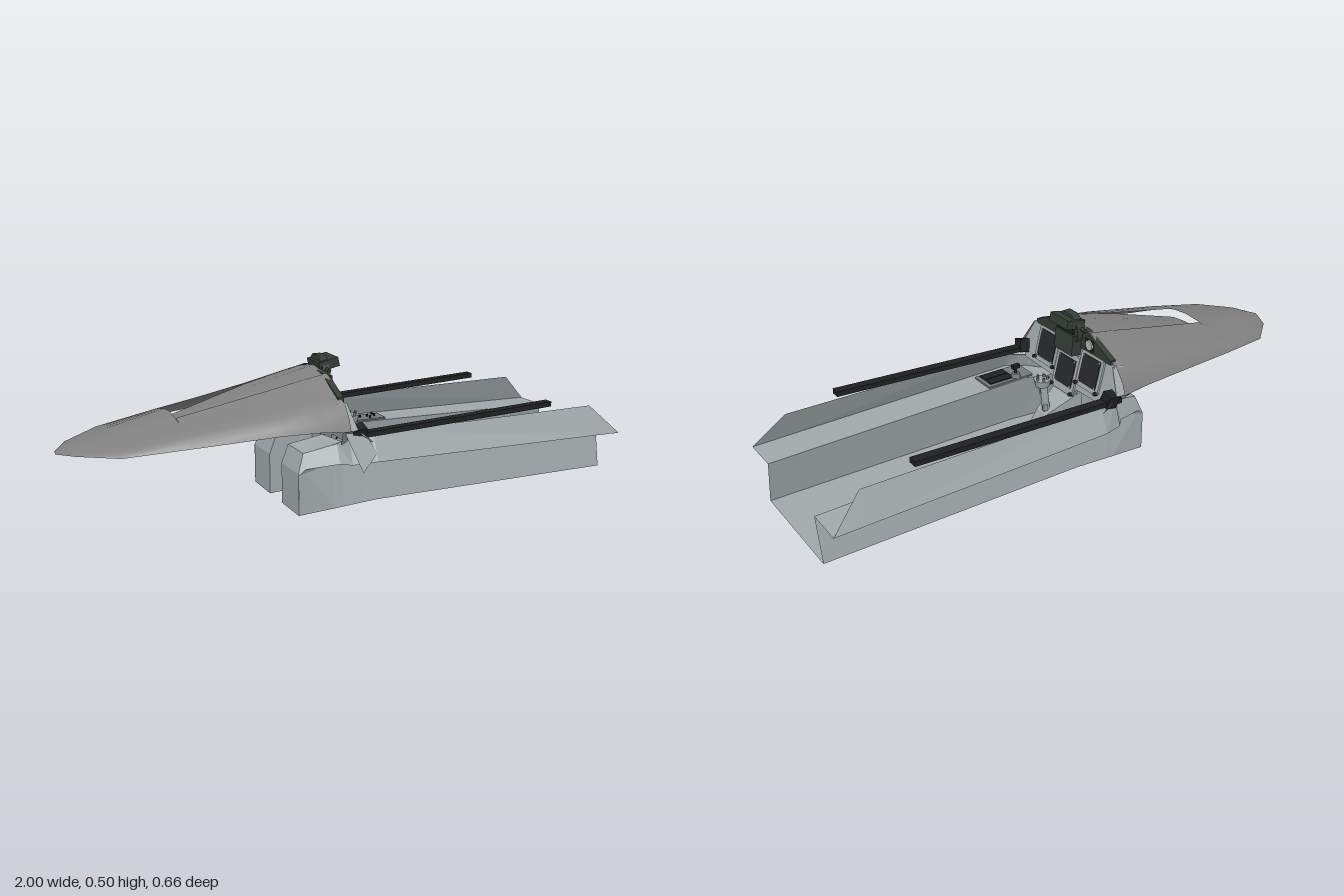
import * as THREE from 'three';

const mat = (name, color, side = THREE.DoubleSide) => {
  const m = new THREE.MeshStandardMaterial({ color, side });
  m.name = name;
  return m;
};
const M = {
  tub: mat('light grey', 0xa0a8aa),
  skin: mat('skin grey', 0x808080),
  hood: mat('dark green', 0x343d34),
  black: mat('black', 0x1f2021),
  screen: mat('screen charcoal', 0x26282a),
  panel: mat('console grey', 0x74797a),
  dial: mat('dial pale grey', 0xb4b6b6),
};

function add(parent, name, geo, material, pos = [0, 0, 0], rot = [0, 0, 0]) {
  const m = new THREE.Mesh(geo, material);
  m.name = name;
  m.position.set(...pos);
  m.rotation.set(...rot);
  parent.add(m);
  return m;
}
const box = (w, h, d) => new THREE.BoxGeometry(w, h, d);
const cyl = (a, b, h, n = 12) => new THREE.CylinderGeometry(a, b, h, n);

// Surface through rows of points; flat or smooth
function loft(rows, smooth = false) {
  const n = rows[0].length, index = [];
  for (let i = 0; i < rows.length - 1; i++)
    for (let j = 0; j < n - 1; j++) {
      const a = i * n + j, b = a + n;
      index.push(a, a + 1, b, b, a + 1, b + 1);
    }
  let g = new THREE.BufferGeometry();
  g.setAttribute('position', new THREE.Float32BufferAttribute(rows.flat(2), 3));
  g.setIndex(index);
  if (!smooth) g = g.toNonIndexed();
  g.computeVertexNormals();
  return g;
}

// Flat plate in x/y facing +z, from corner points
function plate(points, depth) {
  const s = new THREE.Shape(points.map(p => new THREE.Vector2(...p)));
  return new THREE.ExtrudeGeometry(s, { depth, bevelEnabled: false });
}
function roundedPlate(w, h, r, depth) {
  const s = new THREE.Shape(), x = w / 2, y = h / 2;
  s.absarc(x - r, y - r, r, 0, Math.PI / 2);
  s.absarc(r - x, y - r, r, Math.PI / 2, Math.PI);
  s.absarc(r - x, r - y, r, Math.PI, Math.PI * 1.5);
  s.absarc(x - r, r - y, r, Math.PI * 1.5, Math.PI * 2);
  return new THREE.ExtrudeGeometry(s, { depth, bevelEnabled: false, curveSegments: 4 });
}

// One half of the tub shell: floor, lower wall, ledge, sloping sill
function tubSide() {
  const g = new THREE.Group();
  // x, floor inner z, floor y, wall top z/y, ledge z/y, sill z/y
  const S = [
    [-0.245, 0.057, 0.004, 0.209, 0.14, 0.209, 0.145, 0.207, 0.15],
    [-0.22, 0.057, 0.006, 0.207, 0.15, 0.212, 0.165, 0.19, 0.215],
    [-0.11, 0.057, 0.012, 0.19, 0.17, 0.25, 0.18, 0.22, 0.245],
    [-0.08, 0.057, 0.014, 0.185, 0.178, 0.285, 0.182, 0.255, 0.27],
    [-0.08, 0, 0.014, 0.185, 0.178, 0.285, 0.182, 0.255, 0.27],
    [0.0, 0, 0.019, 0.18, 0.196, 0.315, 0.192, 0.275, 0.28],
    [0.05, 0, 0.022, 0.18, 0.195, 0.315, 0.191, 0.275, 0.281],
    [0.89, 0, 0.022, 0.18, 0.182, 0.315, 0.18, 0.275, 0.285],
    [1, 0, 0.022, 0.18, 0.18, 0.315, 0.178, 0.315, 0.179],
  ];
  const rows = S.map(([x, fi, fy, wz, wy, lz, ly, sz, sy]) =>
    [[x, fy, fi], [x, fy, 0.209], [x, wy, wz], [x, ly, lz], [x, sy, sz]]);
  add(g, 'tubShell', loft(rows), M.tub);
  // Foot box: front cap, cover and inner wall
  add(g, 'footBoxFront', loft([
    [[-0.245, 0.004, 0.057], [-0.245, 0.004, 0.209]],
    [[-0.245, 0.15, 0.057], [-0.245, 0.15, 0.207]],
    [[-0.22, 0.215, 0.057], [-0.22, 0.215, 0.19]],
    [[-0.09, 0.235, 0.057], [-0.09, 0.25, 0.23]],
  ]), M.tub);
  add(g, 'footBoxInnerWall', loft([
    [[-0.245, 0.004, 0.057], [-0.245, 0.15, 0.057]],
    [[-0.22, 0.006, 0.057], [-0.22, 0.215, 0.057]],
    [[-0.08, 0.014, 0.057], [-0.08, 0.235, 0.057]],
  ]), M.tub);
  // Canopy rail along the sill
  add(g, 'canopyRail', box(0.8, 0.018, 0.034), M.black, [0.31, 0.294, 0.266], [0, -0.012, 0.045]);
  add(g, 'railEnd', box(0.05, 0.05, 0.04), M.black, [-0.05, 0.285, 0.262], [0.3, 0, 0.2]);
  // Skin joining the nose to the sill
  add(g, 'cornerSkin', loft([
    [[-0.12, 0.385, 0.24], [-0.08, 0.385, 0.235]],
    [[-0.12, 0.3, 0.29], [-0.06, 0.3, 0.285]],
    [[-0.1, 0.24, 0.235], [0.0, 0.25, 0.285]],
  ]), M.tub);
  return g;
}

// Nose fairing with a cut-out centre strip and a lowered panel under it
function nose() {
  const g = new THREE.Group();
  g.name = 'nose';
  // x, half width, base y, top y
  const K = [
    [-1, 0.012, 0.262, 0.268], [-0.95, 0.095, 0.27, 0.285], [-0.83, 0.195, 0.275, 0.313],
    [-0.62, 0.235, 0.29, 0.362], [-0.33, 0.28, 0.309, 0.42], [-0.2, 0.288, 0.308, 0.45], [-0.09, 0.293, 0.3, 0.474],
  ];
  const P = [[0.27, 0.92], [0.5, 0.75], [0.72, 0.57], [0.85, 0.45], [0.95, 0.22], [1, 0]];
  const half = ([x, h, b, t], s, inner) => [
    [x, b + (t - b) * (inner ? 0.91 : 1), s * inner],
    ...P.map(([u, v]) => [x, b + (t - b) * v, s * Math.max(u * h, inner + 0.002)])];
  const tip = K.slice(0, 4).map(k => [...half(k, -1, 0).reverse(), ...half(k, 1, 0).slice(1)]);
  add(g, 'noseTip', loft(tip, true), M.skin);
  const strip = [0.078, 0.082, 0.088, 0.095];
  for (const s of [-1, 1])
    add(g, 'noseSide', loft(K.slice(3).map((k, i) => half(k, s, strip[i])), true), M.skin);
  const lower = [0.032, 0.002, 0, 0];
  const rows = K.slice(3).map(([x, , b, t], i) => [-1, 0, 1].map(s =>
    [x, b + (t - b) * (s ? 0.91 : 1) - lower[i], s * (strip[i] - (i ? 0.001 : 0.008))]));
  add(g, 'noseCentrePanel', loft(rows, true), M.skin);
  return g;
}

// Instrument board: local x runs across, local z faces the seat
function dashboard() {
  const g = new THREE.Group();
  g.name = 'dashboard';
  g.rotation.order = 'YXZ';
  g.rotation.set(-0.25, Math.PI / 2, 0);
  g.position.set(-0.1, 0.385, 0);
  add(g, 'board', plate([[-0.235, 0], [-0.275, -0.085], [-0.25, -0.15], [-0.07, -0.155], [-0.06, -0.185],
    [0.06, -0.185], [0.07, -0.155], [0.25, -0.15], [0.275, -0.085], [0.235, 0]], 0.012), M.tub);
  for (const [x, y, h] of [[-0.127, -0.066, 0.13], [0.127, -0.066, 0.13], [0, -0.111, 0.148]]) {
    add(g, 'displayFrame', roundedPlate(0.125, h, 0.012, 0.008), M.tub, [x, y, 0.012]);
    add(g, 'displayScreen', box(0.097, 0.103, 0.004), M.screen, [x, y + 0.004, 0.021]);
    for (const s of [-1, 1]) {
      add(g, 'displayKnob', cyl(0.007, 0.007, 0.012), M.screen,
        [x + s * 0.057, y - h / 2 + 0.008, 0.024], [Math.PI / 2, 0, 0]);
      for (const t of [-1, 1])
        add(g, 'screenScrew', box(0.006, 0.006, 0.002), M.dial, [x + s * 0.044, y + 0.004 + t * 0.047, 0.0235]);
    }
  }
  return g;
}

// Glare shield, sight housing and dial
function hood() {
  const g = new THREE.Group();
  g.name = 'glareShield';
  g.rotation.y = Math.PI / 2;
  add(g, 'shieldPlate', plate([[-0.218, 0.385], [0.218, 0.385], [0.218, 0.402], [0.08, 0.463],
    [-0.08, 0.463], [-0.218, 0.402]], 0.022), M.hood, [0, 0, -0.105]);
  add(g, 'sightDrum', cyl(0.066, 0.066, 0.03, 8), M.hood, [0, 0.447, -0.075], [Math.PI / 2, Math.PI / 8, 0]);
  add(g, 'sightHousing', box(0.104, 0.075, 0.04), M.hood, [0, 0.4, -0.065], [-0.1, 0, 0]);
  add(g, 'sightTop', box(0.104, 0.032, 0.075), M.hood, [0, 0.48, -0.06], [-0.2, 0, 0]);
  add(g, 'sightGap', box(0.09, 0.02, 0.01), M.black, [0, 0.452, -0.057]);
  for (const s of [-1, 1])
    add(g, 'sightLug', cyl(0.007, 0.007, 0.022, 8), M.hood, [s * 0.075, 0.466, -0.075], [0, 0, Math.PI / 2]);
  add(g, 'dialMount', box(0.043, 0.04, 0.006), M.screen, [0.103, 0.418, -0.081]);
  add(g, 'dialFace', cyl(0.018, 0.018, 0.006, 20), M.dial, [0.107, 0.42, -0.076], [Math.PI / 2, 0, 0]);
  return g;
}

function pedestalAndStick() {
  const g = new THREE.Group();
  g.name = 'controlPedestal';
  const A = s => [-0.08, 0.225, s * 0.068], B = s => [0.05, 0.15, s * 0.03];
  const C = s => [0.12, 0.022, s * 0.045], D = s => [-0.08, 0.014, s * 0.058];
  add(g, 'pedestalTop', loft([A, B, C].map(f => [f(-1), f(1)])), M.tub);
  add(g, 'pedestalBack', loft([A, D].map(f => [f(-1), f(1)])), M.tub);
  for (const s of [-1, 1]) add(g, 'pedestalSide', loft([[A(s), B(s)], [D(s), C(s)]]), M.tub);
  add(g, 'stickShaft', cyl(0.012, 0.015, 0.12), M.tub, [0.035, 0.2, 0], [0, 0, -0.1]);
  add(g, 'stickHead', cyl(0.032, 0.026, 0.026, 8), M.tub, [0.045, 0.267, 0.003]);
  add(g, 'stickTrigger', box(0.03, 0.035, 0.008), M.tub, [0.03, 0.22, 0.018], [0.4, 0, 0]);
  add(g, 'stickSwitch', box(0.016, 0.022, 0.01), M.tub, [0.045, 0.172, -0.015]);
  for (let i = 0; i < 5; i++) {
    const a = i * 1.257;
    add(g, 'stickButton', cyl(0.005, 0.005, 0.012, 8), M.panel,
      [0.045 + 0.019 * Math.cos(a), 0.284, 0.003 + 0.019 * Math.sin(a)]);
  }
  return g;
}

function consoles() {
  const g = new THREE.Group();
  g.name = 'sideConsoles';
  // Left console with pads and throttle
  add(g, 'leftConsolePanel', box(0.19, 0.006, 0.1), M.panel, [0.06, 0.2, 0.23]);
  for (const z of [0.213, 0.253]) add(g, 'consolePad', box(0.1, 0.006, 0.036), M.black, [0.09, 0.204, z]);
  add(g, 'throttleBase', cyl(0.014, 0.018, 0.016), M.panel, [0.03, 0.212, 0.196]);
  add(g, 'throttleStem', cyl(0.005, 0.006, 0.03, 8), M.black, [0.03, 0.23, 0.196]);
  add(g, 'throttleGrip', box(0.03, 0.015, 0.016), M.black, [0.03, 0.246, 0.196]);
  // Right console with switch rows and an upright panel
  add(g, 'rightConsolePanel', box(0.3, 0.006, 0.075), M.panel, [0.13, 0.199, -0.215]);
  for (let i = 0; i < 9; i++)
    for (let j = 0; j < 3; j++)
      if ((i * 2 + j) % 4)
        add(g, 'consoleSwitch', cyl(0.004, 0.004, 0.012, 8), M.black, [0.01 + i * 0.03, 0.206, -0.192 - j * 0.022]);
  add(g, 'uprightPanel', box(0.008, 0.05, 0.075), M.tub, [-0.03, 0.226, -0.225], [0, 0, 0.3]);
  for (let i = 0; i < 4; i++)
    add(g, 'uprightSwitch', box(0.01, 0.007, 0.008), M.black, [-0.024, 0.21 + (i % 2) * 0.012, -0.232 - (i >> 1) * 0.014]);
  // Loose outer flap on the left corner
  add(g, 'cornerFlap', loft([
    [[-0.11, 0.3, 0.28], [-0.03, 0.285, 0.275]],
    [[-0.07, 0.17, 0.345], [0.0, 0.22, 0.305]],
  ]), M.tub);
  return g;
}

export function createModel() {
  const root = new THREE.Group();
  root.name = 'cockpit';
  const body = new THREE.Group();
  body.name = 'cockpitBody';
  body.position.set(0, -0.004, -0.015);
  const left = tubSide(), right = tubSide();
  left.name = 'tubLeft';
  right.name = 'tubRight';
  right.scale.z = -1;
  body.add(left, right, nose(), dashboard(), hood(), pedestalAndStick(), consoles());
  root.add(body);
  return root;
}
